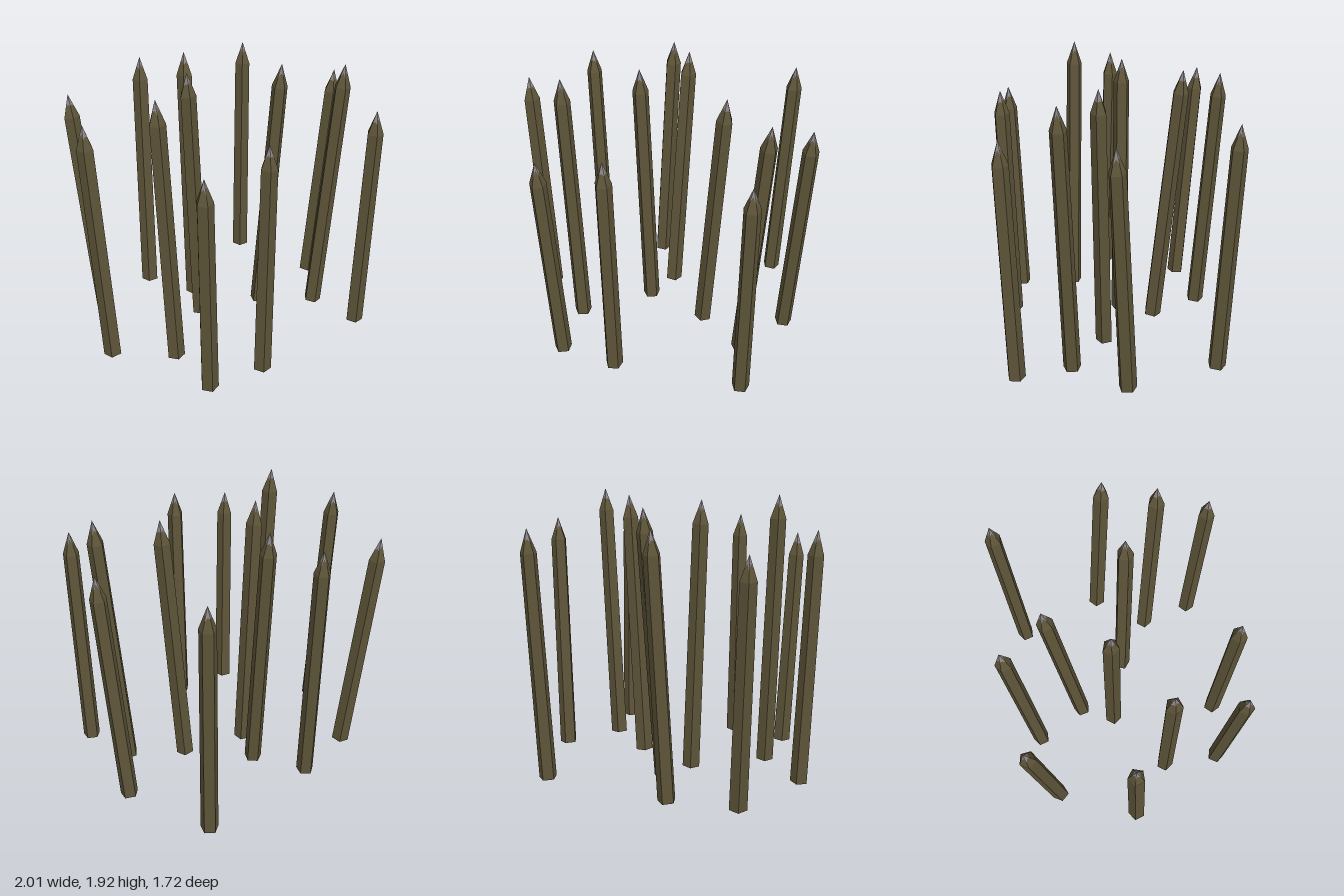
import * as THREE from 'three';

const SIDES = 5, BASE_Y = 0.015, BASE_R = 0.062, TOP_R = 0.056, POINT = 0.16;

// base x, base z, tip x, tip y, tip z, turn of the five-sided section in degrees
const STAKES = [
  [-0.58, -0.69, -0.645, 1.69, -0.83, 40],
  [-0.11, -0.70, -0.04, 1.81, -0.79, 65],
  [0.78, -0.565, 0.835, 1.75, -0.615, 65],
  [0.02, -0.325, 0.10, 1.89, -0.48, 70],
  [-0.905, -0.18, -0.97, 1.755, -0.235, -8],
  [-0.125, -0.11, -0.195, 1.91, -0.135, -27],
  [-0.61, 0.15, -0.67, 1.93, 0.10, -28],
  [0.29, 0.10, 0.40, 1.89, 0.16, 30],
  [0.885, 0.08, 0.95, 1.71, 0.18, 56],
  [0.58, 0.39, 0.685, 1.895, 0.47, 47],
  [-0.675, 0.55, -0.74, 1.605, 0.585, -30],
  [-0.285, 0.665, -0.30, 1.71, 0.69, 54],
  [0.605, 0.77, 0.603, 1.685, 0.81, 56],
];

// Pentagon of corners plus edge midpoints, as ten points
function section(radius, y) {
  const corner = (k) => {
    const a = (k / SIDES) * Math.PI * 2;
    return new THREE.Vector3(Math.cos(a) * radius, y, Math.sin(a) * radius);
  };
  const points = [];
  for (let k = 0; k < SIDES; k++) {
    points.push(corner(k), corner(k).lerp(corner(k + 1), 0.5));
  }
  return points;
}

// Faces between two rings of equal count
function bridge(low, high) {
  const tris = [];
  low.forEach((p, i) => {
    const j = (i + 1) % low.length;
    tris.push(p, high[i], high[j], p, high[j], low[j]);
  });
  return tris;
}

// Faces from a ring to one point
function fan(ring, apex, flip = false) {
  return ring.flatMap((p, i) => {
    const q = ring[(i + 1) % ring.length];
    return flip ? [p, q, apex] : [p, apex, q];
  });
}

function flatMesh(tris, material, name) {
  const geometry = new THREE.BufferGeometry().setFromPoints(tris);
  geometry.computeVertexNormals();
  const mesh = new THREE.Mesh(geometry, material);
  mesh.name = name;
  return mesh;
}

export function createModel() {
  const wood = new THREE.MeshStandardMaterial({ color: 0x5e5539 });
  wood.name = 'weathered wood';
  const pale = new THREE.MeshStandardMaterial({ color: 0x8c8585 });
  pale.name = 'pale cut wood';

  const model = new THREE.Group();
  model.name = 'stakes';

  STAKES.forEach(([bx, bz, tx, ty, tz, turn], s) => {
    const base = new THREE.Vector3(bx, BASE_Y, bz);
    const axis = new THREE.Vector3(tx, ty, tz).sub(base);
    const length = axis.length();

    const bottom = section(BASE_R, 0);
    const shoulder = section(TOP_R, length - POINT);
    const apex = new THREE.Vector3(0, length, 0);
    // Ragged edge where the sharpened end turns pale
    const ragged = shoulder.map((p, i) =>
      apex.clone().lerp(p, (i % 2 ? 0.38 : 0.56) + 0.08 * Math.sin(i * 2.3 + s * 1.7)));

    const stake = new THREE.Group();
    stake.name = 'stake';
    stake.add(
      flatMesh([
        ...fan(bottom, new THREE.Vector3(), true),
        ...bridge(bottom, shoulder),
        ...bridge(shoulder, ragged),
      ], wood, 'shaft'),
      flatMesh(fan(ragged, apex), pale, 'sharpenedTip'),
    );

    // Turn about its own axis, then lean
    const lean = new THREE.Quaternion().setFromUnitVectors(
      new THREE.Vector3(0, 1, 0), axis.normalize());
    const spin = new THREE.Quaternion().setFromAxisAngle(
      new THREE.Vector3(0, 1, 0), -THREE.MathUtils.degToRad(turn));
    stake.quaternion.copy(lean).multiply(spin);
    stake.position.copy(base);
    model.add(stake);
  });

  return model;
}
